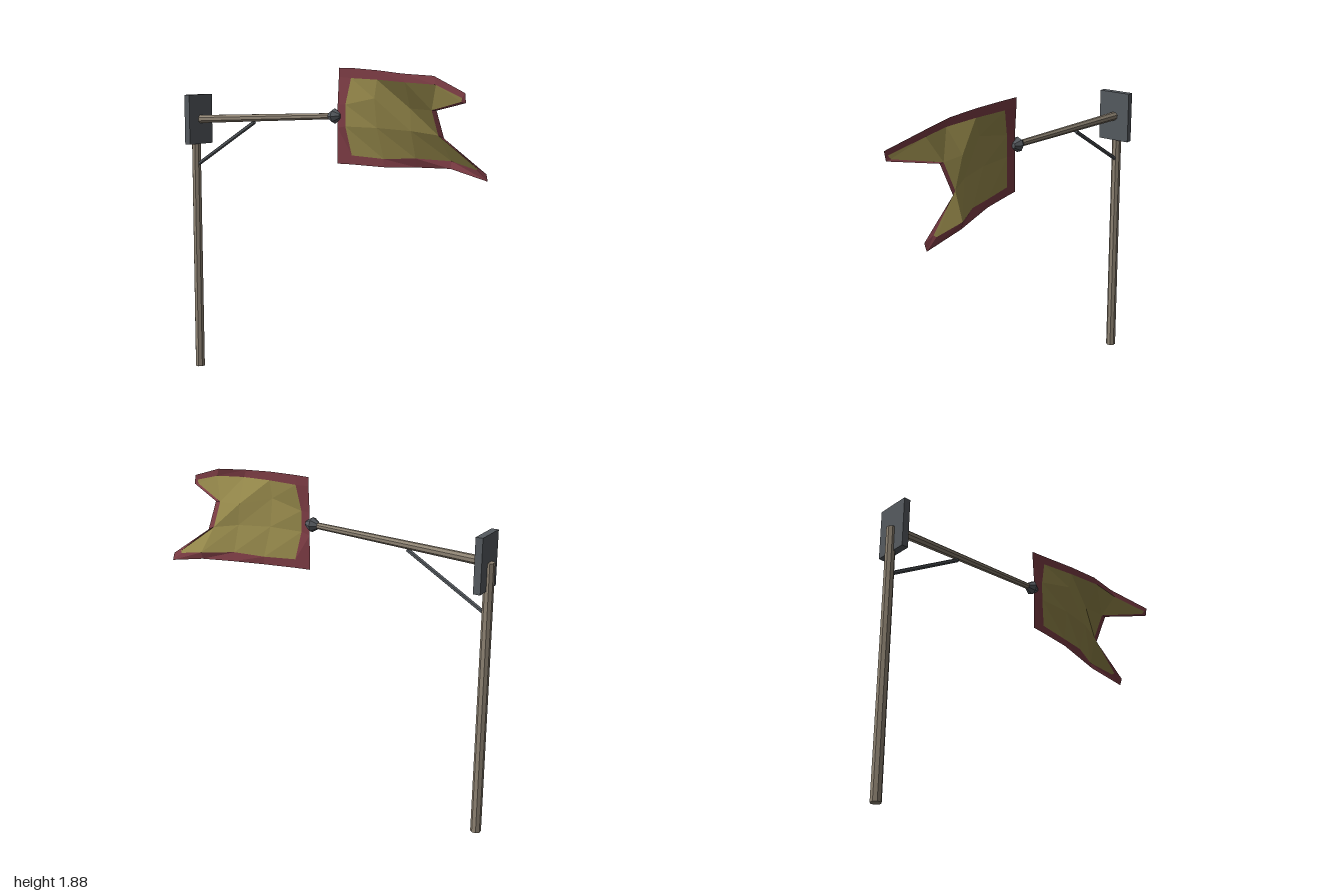
import * as THREE from 'three';

const mat = (color, side = THREE.FrontSide) =>
  new THREE.MeshStandardMaterial({ color, side, flatShading: true });
const wood = mat(0x8f8474), metal = mat(0x565b60);
const cloth = mat(0x94874a, THREE.DoubleSide), trim = mat(0x7c3c44, THREE.DoubleSide);

// Straight tapered rod between two points
function rod(name, a, b, r0, r1, sides, material) {
  const p = new THREE.Vector3(...a), q = new THREE.Vector3(...b);
  const d = q.clone().sub(p);
  const g = new THREE.CylinderGeometry(r1, r0, d.length(), sides);
  g.rotateY(Math.PI / sides);
  const m = new THREE.Mesh(g, material);
  m.position.copy(p).add(q).multiplyScalar(0.5);
  m.quaternion.setFromUnitVectors(new THREE.Vector3(0, 1, 0), d.normalize());
  m.name = name;
  return m;
}

// Sheet made of quads [topLeft, bottomLeft, bottomRight, topRight]
function sheet(name, quads, material) {
  const pos = [];
  for (const [a, b, c, d] of quads) pos.push(...a, ...b, ...c, ...a, ...c, ...d);
  const g = new THREE.BufferGeometry();
  g.setAttribute('position', new THREE.Float32BufferAttribute(pos, 3));
  g.computeVertexNormals();
  const m = new THREE.Mesh(g, material);
  m.name = name;
  return m;
}

// Swallow-tailed flag, waving: rows run from top to bottom, columns outwards
function makeFlag() {
  const rows = [
    [[0.11, 1.88, -0.01], [0.2, 1.88, 0], [0.4, 1.87, 0.04], [0.58, 1.855, 0.07], [0.76, 1.845, 0.05]],
    [[0.11, 1.83, -0.01], [0.2, 1.825, 0], [0.4, 1.82, 0.04], [0.6, 1.81, 0.075], [0.78, 1.8, 0.06]],
    [[0.11, 1.68, 0], [0.17, 1.68, 0.01], [0.38, 1.72, 0.035], [0.58, 1.67, -0.01], [0.72, 1.665, 0]],
    [[0.11, 1.55, 0], [0.17, 1.56, 0.01], [0.38, 1.56, 0.01], [0.58, 1.55, -0.02], [0.72, 1.53, -0.07]],
    [[0.11, 1.4, 0], [0.2, 1.4, -0.01], [0.4, 1.39, -0.03], [0.58, 1.4, -0.07], [0.76, 1.39, -0.145]],
    [[0.11, 1.35, 0], [0.2, 1.35, -0.01], [0.4, 1.345, -0.03], [0.58, 1.35, -0.085], [0.76, 1.35, -0.135]],
  ];
  const inner = [], border = [];
  for (let r = 0; r < 5; r++) {
    for (let c = 0; c < 4; c++) {
      const edge = r === 0 || r === 4 || c === 0;
      (edge ? border : inner).push([rows[r][c], rows[r + 1][c], rows[r + 1][c + 1], rows[r][c + 1]]);
    }
  }
  const end = rows.map((r) => r[4]);
  // Border of the notch
  const notchTop = [0.75, 1.665, 0], notchLow = [0.75, 1.515, -0.08];
  border.push([end[2], end[3], notchLow, notchTop]);
  // Upper tail
  const upA = [1, 1.765, 0.14], upB = [1, 1.715, 0.13];
  const upInA = [0.98, 1.74, 0.134], upInB = [0.97, 1.72, 0.126];
  inner.push([end[1], end[2], upInB, upInA]);
  border.push([end[0], end[1], upInA, upA], [end[2], notchTop, upB, upInB], [upInA, upInB, upB, upA]);
  // Lower tail
  const loA = [1, 1.34, -0.095], loB = [1, 1.3, -0.11];
  const loInA = [0.94, 1.365, -0.105], loInB = [0.93, 1.355, -0.115];
  inner.push([end[3], end[4], loInB, loInA]);
  border.push([end[4], end[5], loB, loInB], [notchLow, end[3], loInA, loA], [loInA, loInB, loB, loA]);

  const flag = new THREE.Group();
  flag.name = 'flag';
  flag.add(sheet('flagCloth', inner, cloth), sheet('flagBorder', border, trim));
  return flag;
}

export function createModel() {
  const model = new THREE.Group();
  model.name = 'flagPost';

  // Upright post and slightly rising arm
  model.add(rod('post', [-0.972, 0, 0], [-0.972, 1.56, 0], 0.03, 0.028, 8, wood));
  model.add(rod('arm', [-0.95, 1.56, 0], [0.09, 1.614, 0], 0.026, 0.018, 8, wood));

  // Metal mounting plate and diagonal brace
  const plate = new THREE.Mesh(new THREE.BoxGeometry(0.04, 0.3, 0.2), metal);
  plate.position.set(-0.95, 1.56, 0);
  plate.name = 'mountingPlate';
  model.add(plate);
  model.add(rod('brace', [-0.955, 1.285, 0], [-0.5, 1.558, 0], 0.012, 0.012, 6, metal));

  // Faceted cap at the arm's end
  const profile = [[0, -0.038], [0.02, -0.036], [0.043, 0], [0.016, 0.04], [0, 0.042]]
    .map(([x, y]) => new THREE.Vector2(x, y));
  const cap = new THREE.Mesh(new THREE.LatheGeometry(profile, 8), metal);
  cap.position.set(0.09, 1.614, 0);
  cap.rotation.z = -Math.PI / 2 + 0.05;
  cap.name = 'armCap';
  model.add(cap);

  model.add(makeFlag());
  return model;
}
